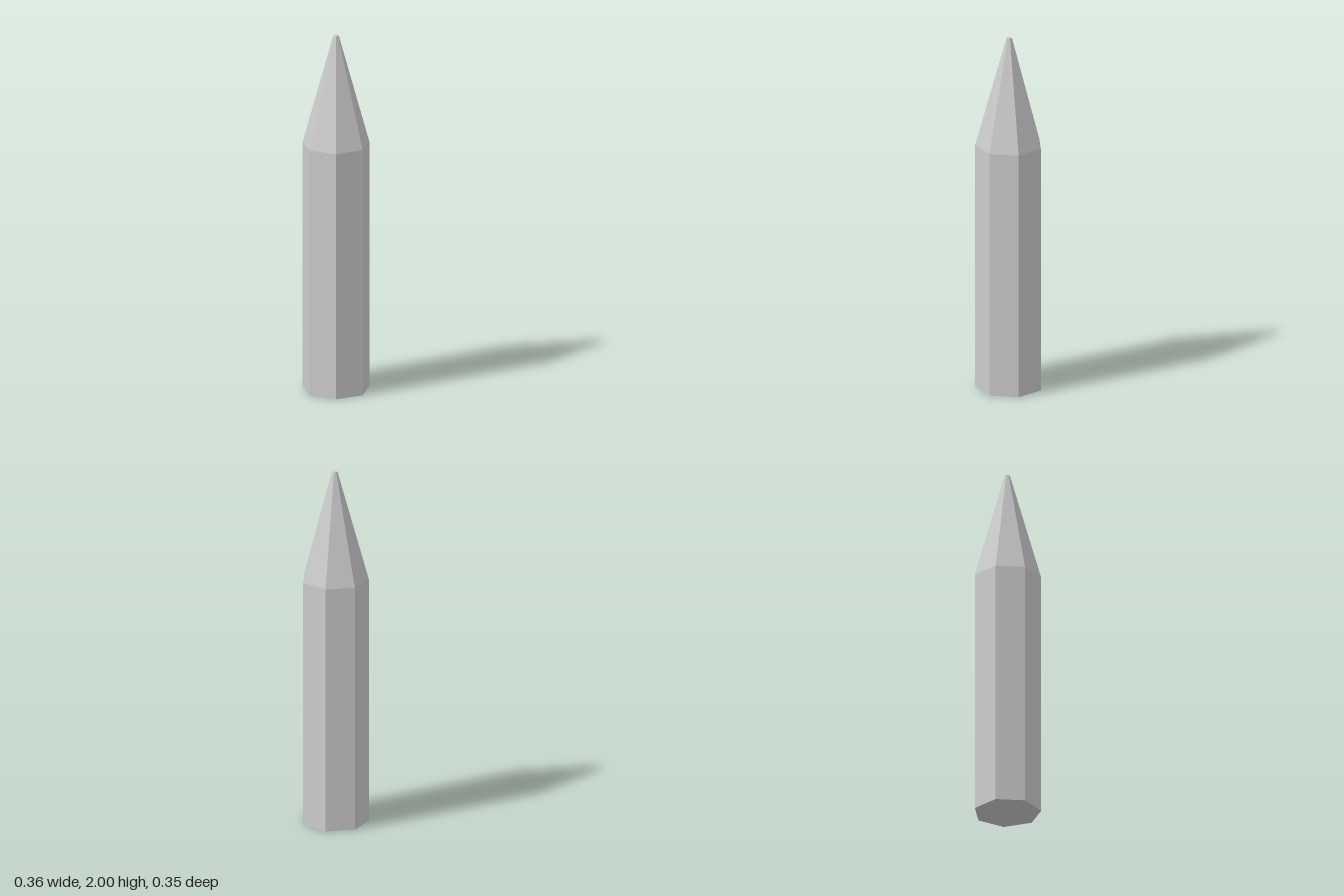
import * as THREE from 'three';

const SIDES = 7;
const RADIUS = 0.184;
const TIP_RADIUS = 0.015;
const SHOULDER = 1.387;
const HEIGHT = 2;

export function createModel() {
  const group = new THREE.Group();
  group.name = 'sharpenedStake';
  const material = new THREE.MeshStandardMaterial({ color: 0xcccccc, flatShading: true });

  // Closed profile: base, straight shaft, long taper, small blunt tip
  const profile = [
    [0, 0],
    [RADIUS, 0],
    [RADIUS, SHOULDER],
    [TIP_RADIUS, HEIGHT],
    [0, HEIGHT],
  ].map(([r, y]) => new THREE.Vector2(r, y));

  // Seven sides, a corner at the back and a flat face at the front
  const geometry = new THREE.LatheGeometry(profile, SIDES, Math.PI);
  // Centre the odd-sided section on z = 0
  geometry.translate(0, 0, RADIUS * (1 - Math.cos(Math.PI / SIDES)) / 2);

  const stake = new THREE.Mesh(geometry, material);
  stake.name = 'shaftAndPoint';
  group.add(stake);
  return group;
}
